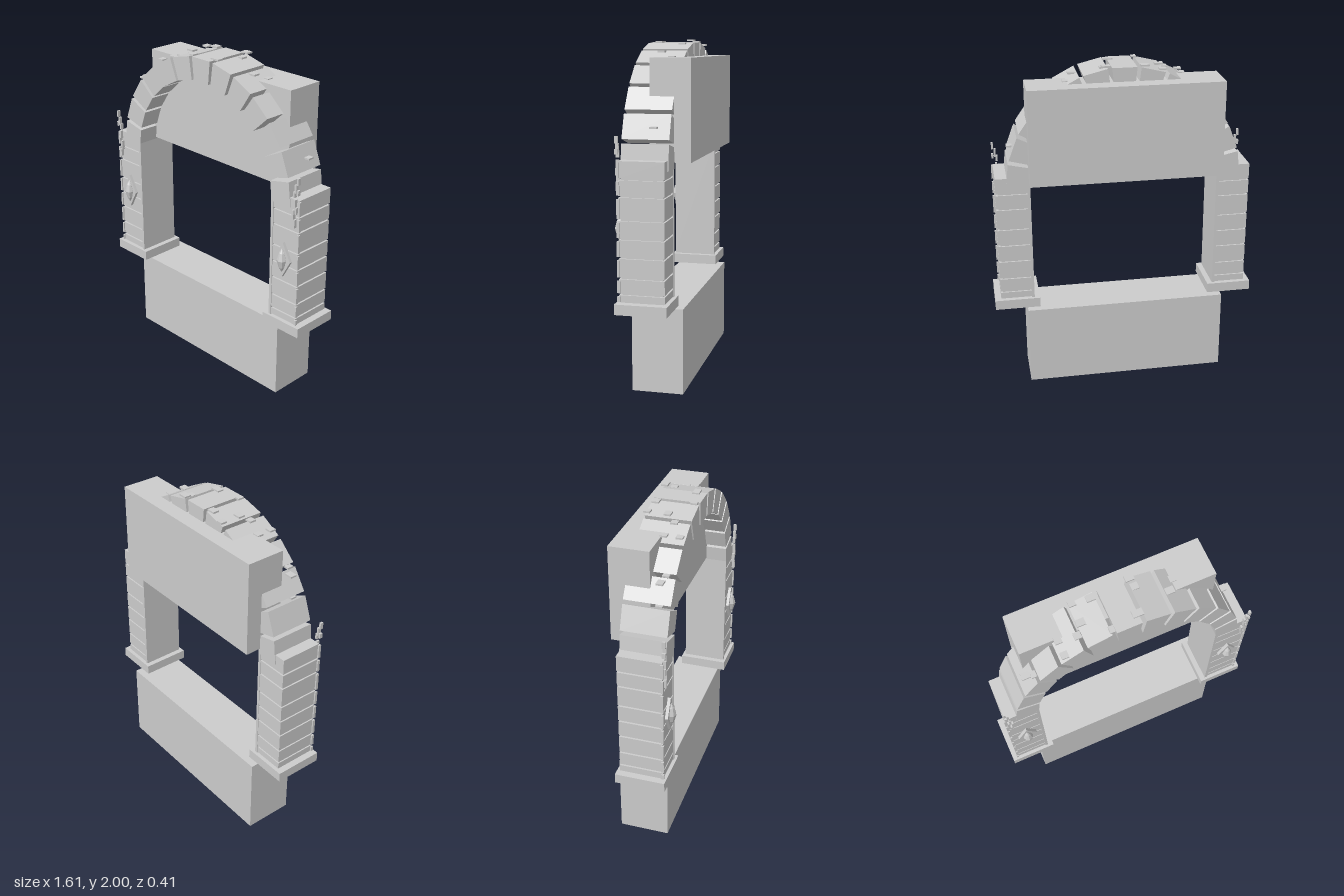
import * as THREE from 'three';

export function createModel() {
  const root = new THREE.Group();
  root.name = 'stoneGateway';
  const stone = new THREE.MeshStandardMaterial({ color: 0xcccccc, flatShading: true });
  stone.name = 'pale grey stone';

  const add = (name, geometry, parent = root) => {
    const m = new THREE.Mesh(geometry, stone);
    m.name = name;
    parent.add(m);
    return m;
  };
  // Box given by its limits on each axis
  const box = (name, x0, x1, y0, y1, z0, z1, parent = root) => {
    const m = add(name, new THREE.BoxGeometry(Math.abs(x1 - x0), y1 - y0, z1 - z0), parent);
    m.position.set((x0 + x1) / 2, (y0 + y1) / 2, (z0 + z1) / 2);
    return m;
  };

  // Large plain blocks below and behind the arch
  box('baseBlock', -0.61, 0.61, 0, 0.5, -0.17, 0.13);
  box('upperBackBlock', -0.575, 0.57, 1.325, 1.9, -0.205, 0.03);

  // Arch of thirteen wedge stones
  const arch = new THREE.Group();
  arch.name = 'arch';
  root.add(arch);
  const count = 13, centreY = 1.28;
  const wedge = new THREE.Shape([
    new THREE.Vector2(-0.059, 0.563), new THREE.Vector2(0.059, 0.563),
    new THREE.Vector2(0.073, 0.702), new THREE.Vector2(-0.073, 0.702),
  ]);
  const wedgeGeometry = new THREE.ExtrudeGeometry(wedge, { depth: 0.27, bevelEnabled: false });
  for (let i = 0; i < count; i++) {
    const m = add('archStone', wedgeGeometry, arch);
    m.position.set(0, centreY, -0.11);
    m.rotation.z = (i - (count - 1) / 2) * Math.PI / count;
  }

  // Flat chips lying on the arch: x, y, z, width
  const chips = [
    [-0.65, 1.48, 0.09, 0.03], [-0.59, 1.6, 0.09, 0.05], [-0.58, 1.73, 0.09, 0.05],
    [-0.54, 1.755, 0.11, 0.03], [-0.36, 1.9, 0.13, 0.04], [-0.36, 1.9, 0.04, 0.04],
    [-0.26, 1.935, 0.07, 0.04], [-0.22, 1.965, 0.02, 0.05], [-0.22, 1.965, -0.1, 0.04],
    [-0.12, 1.985, -0.08, 0.05], [-0.09, 1.985, 0.13, 0.03], [0.07, 1.985, 0.1, 0.06],
    [0.11, 1.993, -0.1, 0.05], [0.12, 1.975, -0.05, 0.04], [0.29, 1.93, 0.03, 0.05],
    [0.335, 1.9, -0.04, 0.04], [0.47, 1.77, 0.055, 0.03], [0.53, 1.69, -0.07, 0.03],
    [0.67, 1.525, -0.02, 0.04],
  ];
  for (const [x, y, z, w] of chips) {
    box('archChip', x - w / 2, x + w / 2, y - 0.005, y + 0.005, z - 0.02, z + 0.02, arch);
  }

  // Ornament outline and faceted gem
  const diamond = new THREE.Shape([
    new THREE.Vector2(0, -0.108), new THREE.Vector2(0.058, 0),
    new THREE.Vector2(0, 0.108), new THREE.Vector2(-0.058, 0),
  ]);
  const plateGeometry = new THREE.ExtrudeGeometry(diamond, { depth: 0.02, bevelEnabled: false });
  const gemGeometry = new THREE.LatheGeometry([
    new THREE.Vector2(0.001, -0.075), new THREE.Vector2(0.018, -0.045), new THREE.Vector2(0.03, 0),
    new THREE.Vector2(0.018, 0.045), new THREE.Vector2(0.001, 0.075),
  ], 8);

  const seams = [0.56, 0.61, 0.7, 0.815, 0.92, 1.025, 1.155, 1.25, 1.355];
  // Thin slivers on the broken upper front corner: x, y, height
  const slivers = [[0.764, 1.465, 0.04], [0.75, 1.42, 0.05], [0.765, 1.4, 0.03], [0.74, 1.385, 0.035],
    [0.745, 1.33, 0.05], [0.755, 1.29, 0.04], [0.735, 1.26, 0.06], [0.745, 1.21, 0.05]];

  for (const s of [-1, 1]) {
    const pillar = new THREE.Group();
    pillar.name = s > 0 ? 'leftPillar' : 'rightPillar';
    root.add(pillar);
    const part = (name, x0, x1, y0, y1, z0, z1) => box(name, s * x0, s * x1, y0, y1, z0, z1, pillar);

    part('plinth', 0.53, 0.805, 0.5, 0.56, -0.125, 0.175);
    part('pillarCore', 0.575, 0.755, 0.56, 1.33, -0.095, 0.145);
    part('innerFacing', 0.563, 0.58, 0.56, 1.33, -0.108, 0.16);
    // Stacked stones separated by recessed joints
    for (let i = 0; i < seams.length - 1; i++) {
      part('pillarStone', 0.578, 0.768, seams[i] + 0.005, seams[i + 1] - 0.005, -0.105, 0.156);
      // Broken trim along the outer front corner
      part('cornerTrim', 0.764, 0.777, seams[i] + 0.008, seams[i + 1] - 0.012, 0.148, 0.164);
    }
    for (const [x, y, h] of slivers) {
      part('stoneSliver', x - 0.006, x + 0.006, y - h / 2, y + h / 2, 0.155, 0.174);
    }
    // Diamond ornament
    const plate = add('diamondPlate', plateGeometry, pillar);
    plate.position.set(s * 0.67, 0.96, 0.154);
    const gem = add('diamondGem', gemGeometry, pillar);
    gem.position.set(s * 0.67, 0.96, 0.176);
  }
  return root;
}
